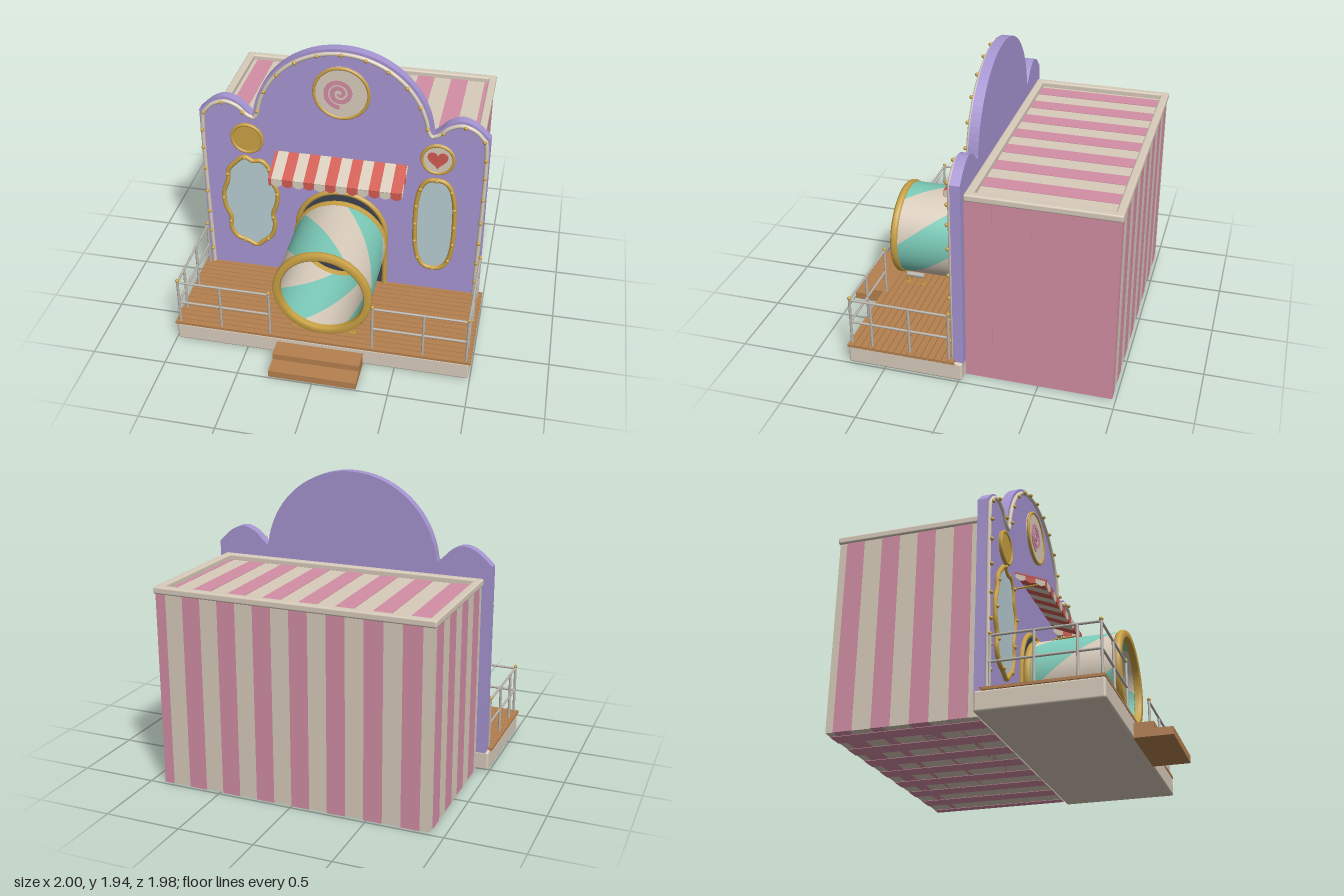
import * as THREE from 'three';
import { RoundedBoxGeometry } from 'three/addons/geometries/RoundedBoxGeometry.js';
import { ParametricGeometry } from 'three/addons/geometries/ParametricGeometry.js';

const mat = (name, color) => Object.assign(new THREE.MeshStandardMaterial({ color }), { name });
const V2 = (x, y) => new THREE.Vector2(x, y);
const V3 = (x, y, z) => new THREE.Vector3(x, y, z);

export function createModel() {
  const purple = mat('purple', 0xa695d2), cream = mat('cream', 0xd8ccbb), pink = mat('pink', 0xd38fa5);
  const teal = mat('teal', 0x7bcab8), gold = mat('gold', 0xc9a144), wood = mat('wood', 0xb5804f);
  const dark = mat('dark', 0x3d4350), red = mat('red', 0xd25c52), glass = mat('glass', 0xb9ced4);
  const silver = mat('silver', 0xb9b4ac);

  const root = new THREE.Group();
  root.name = 'funhouse';
  const add = (name, geo, m, x = 0, y = 0, z = 0) => {
    const mesh = new THREE.Mesh(geo, m);
    mesh.name = name;
    mesh.position.set(x, y, z);
    root.add(mesh);
    return mesh;
  };
  const box = (name, m, x0, x1, y0, y1, z0, z1, r = 0) => add(name,
    r ? new RoundedBoxGeometry(x1 - x0, y1 - y0, z1 - z0, 2, r) : new THREE.BoxGeometry(x1 - x0, y1 - y0, z1 - z0),
    m, (x0 + x1) / 2, (y0 + y1) / 2, (z0 + z1) / 2);
  const plate = (name, m, pts, z, depth) =>
    add(name, new THREE.ExtrudeGeometry(new THREE.Shape(pts), { depth, bevelEnabled: false }), m, 0, 0, z);
  const tube = (name, m, pts, z, r, closed, n = 120) => {
    const curve = new THREE.CatmullRomCurve3(pts.map(p => V3(p.x, p.y, z)), closed, 'centripetal');
    add(name, new THREE.TubeGeometry(curve, n, r, 8, closed), m);
    return curve;
  };
  const rod = (name, m, a, b, r) => {
    const mesh = add(name, new THREE.CylinderGeometry(r, r, a.distanceTo(b), 10), m);
    mesh.position.copy(a).lerp(b, 0.5);
    mesh.quaternion.setFromUnitVectors(V3(0, 1, 0), b.clone().sub(a).normalize());
  };
  const ballGeo = new THREE.SphereGeometry(0.013, 10, 8);
  const ball = (name, x, y, z) => add(name, ballGeo, gold, x, y, z);

  // Striped hall: cream core wrapped by thin pink bands
  box('hallBody', cream, -0.905, 0.905, 0.003, 1.285, -0.975, -0.02);
  for (let x = -0.84; x < 0.9; x += 0.24)
    box('hallStripe', pink, x, Math.min(x + 0.12, 0.906), 0, 1.288, -0.978, -0.022);
  for (let i = 0; i < 4; i++) {
    const z = -0.2 - 0.242 * i;
    box('hallSideStripe', pink, -0.908, 0.908, 0.003, 1.284, z, z + 0.12);
  }
  for (const s of [-1, 1]) {
    const x = s * 0.893;
    box('roofRimSide', cream, x - 0.027, x + 0.027, 1.275, 1.322, -0.985, -0.025, 0.012);
  }
  for (const z of [-0.958, -0.053])
    box('roofRimEnd', cream, -0.92, 0.92, 1.275, 1.322, z - 0.027, z + 0.027, 0.012);

  // Facade outline: side humps and a round middle arch, shrunk by inset i
  const outline = i => {
    const half = [V2(0.97 - i, 0.125)];
    const hump = new THREE.SplineCurve([V2(0.97 - i, 1.4 - 0.5 * i), V2(0.875, 1.485 - i), V2(0.785, 1.517 - i),
      V2(0.7, 1.487 - i), V2(0.645, 1.435 - i), V2(0.606 - i * 0.4, 1.4 - i * 0.6)]);
    half.push(...hump.getPoints(20));
    for (let k = 0; k <= 20; k++) {
      const a = THREE.MathUtils.degToRad(8 + 82 * k / 20), r = 0.604 - i;
      half.push(V2(Math.cos(a) * r, 1.34 + Math.sin(a) * r));
    }
    return [...half, ...half.slice(0, -1).reverse().map(p => V2(-p.x, p.y))];
  };
  plate('facade', purple, outline(0), -0.025, 0.065);
  const trim = tube('facadeTrim', cream, outline(0.03), 0.047, 0.014, false, 300);
  for (const p of trim.getSpacedPoints(32)) ball('trimBulb', p.x, p.y, 0.066);

  // Platform, planks and steps
  box('platform', cream, -0.99, 0.99, 0, 0.13, -0.02, 0.75, 0.015);
  for (let i = 0; i < 17; i++) {
    const z = -0.02 + 0.0456 * i;
    box('plank', wood, -1, 1, 0.125, 0.143, Math.max(z, 0.03), z + 0.041);
  }
  box('upperStep', wood, -0.293, 0.29, 0, 0.095, 0.745, 0.875);
  box('lowerStep', wood, -0.293, 0.29, 0, 0.05, 0.875, 0.99);

  // Doorway
  const arch = r => {
    const pts = [V2(r, 0.14), V2(r, 0.3), V2(r, 0.45)];
    for (let k = 0; k <= 24; k++) {
      const a = Math.PI * k / 24;
      pts.push(V2(Math.cos(a) * r, 0.56 + Math.sin(a) * r));
    }
    return [...pts, V2(-r, 0.45), V2(-r, 0.3), V2(-r, 0.14)];
  };
  plate('doorway', dark, arch(0.3), 0.038, 0.008);
  tube('doorArch', gold, arch(0.307), 0.048, 0.018, false);

  // Rolling barrel with twisted stripes, outside and inside
  const BY = 0.49, rad = THREE.MathUtils.degToRad;
  for (let i = 0; i < 6; i++) {
    for (const [r, inside] of [[0.318, false], [0.283, true]]) {
      const geo = new ParametricGeometry((u, v, t) => {
        const z = 0.08 + 0.6 * v;
        const a = rad(25 + (z - 0.64) * 143 - 60 * i - 60 * (inside ? 1 - u : u));
        t.set(Math.sin(a) * r, BY + Math.cos(a) * r, z);
      }, 12, 24);
      add(inside ? 'barrelLining' : 'barrelStripe', geo, i % 2 ? cream : teal);
    }
  }
  for (const [z, name] of [[0.67, 'barrelFrontRing'], [0.09, 'barrelBackRing']]) {
    const profile = [V2(0.279, -0.02), V2(0.287, -0.025), V2(0.32, -0.025), V2(0.329, -0.012),
      V2(0.329, 0.012), V2(0.32, 0.025), V2(0.287, 0.025), V2(0.279, 0.02), V2(0.279, -0.02)];
    add(name, new THREE.LatheGeometry(profile, 48), gold, 0, BY, z).rotation.x = Math.PI / 2;
  }
  // Rollers under the barrel
  for (const s of [-1, 1]) for (const z of [0.2, 0.563]) {
    const x = s * 0.195;
    rod('roller', silver, V3(x, 0.213, z - 0.06), V3(x, 0.213, z + 0.06), 0.018);
    for (const d of [-0.055, 0.055]) {
      rod('rollerLeg', gold, V3(x, 0.14, z + d), V3(x, 0.22, z + d), 0.009);
      box('rollerFoot', gold, x - 0.02, x + 0.02, 0.14, 0.152, z + d - 0.012, z + d + 0.012);
    }
  }

  // Striped awning with scalloped valance
  for (let k = -1; k < 12; k++) {
    const x0 = Math.max(-0.45, -0.43 + 0.0725 * k), x1 = -0.43 + 0.0725 * (k + 1);
    const m = k % 2 ? red : cream, w = x1 - x0;
    add('awningStripe', new THREE.BoxGeometry(w, 0.009, 0.228), m, (x0 + x1) / 2, 1.1, 0.153).rotation.x = 0.405;
    const pts = [V2(x0, 1.06), V2(x1, 1.06)];
    for (let j = 0; j <= 6; j++) pts.push(V2(x1 - w * j / 6, 1.02 - 0.02 * Math.sin(Math.PI * j / 6)));
    plate('awningValance', m, pts, 0.25, 0.008);
  }
  for (const s of [-1, 1]) {
    for (let k = 0; k < 3; k++) {
      const z0 = 0.05 + k * 0.068, z1 = z0 + 0.068, top = z => 1.145 - 0.43 * (z - 0.05);
      const side = plate('awningSide', k === 1 ? red : cream, [V2(-z0, top(z0)), V2(-z1, top(z1)),
        V2(-z1, top(z1) - 0.035), V2(-(z0 + z1) / 2, top(z1) - 0.035), V2(-z0, top(z0) - 0.035)], 0, 0.006);
      side.rotation.y = Math.PI / 2;
      side.position.x = s * 0.442 - 0.003;
    }
    rod('awningBracket', gold, V3(s * 0.42, 1.04, 0.04), V3(s * 0.42, 1.05, 0.25), 0.006);
  }

  // Round medallions
  const medallion = (name, x, y, r, face) => {
    const disc = add(name + 'Face', new THREE.CylinderGeometry(r, r, 0.02, 40), face, x, y, 0.046);
    disc.rotation.x = Math.PI / 2;
    add(name + 'Rim', new THREE.TorusGeometry(r - 0.007, 0.011, 8, 48), gold, x, y, 0.054);
  };
  medallion('spiralMedallion', 0, 1.637, 0.187, cream);
  medallion('buttonMedallion', -0.645, 1.22, 0.112, gold);
  medallion('heartMedallion', 0.64, 1.22, 0.112, cream);

  // Candy spiral
  const outer = [], inner = [];
  for (let k = 0; k <= 60; k++) {
    const t = k / 60, a = rad(270 - 800 * (1 - t)), r = 0.008 + 0.092 * t, w = 0.006 + 0.009 * Math.min(1, t * 3);
    outer.push(V2(-0.012 + Math.cos(a) * (r + w), 1.637 + Math.sin(a) * (r + w)));
    inner.push(V2(-0.012 + Math.cos(a) * (r - w), 1.637 + Math.sin(a) * (r - w)));
  }
  plate('candySpiral', pink, [...outer, ...inner.reverse()], 0.054, 0.007);

  // Heart
  const heart = [];
  for (let k = 0; k < 40; k++) {
    const a = 2 * Math.PI * k / 40;
    heart.push(V2(0.64 + 0.068 * Math.sin(a) ** 3, 1.222 + 0.0044 *
      (13 * Math.cos(a) - 5 * Math.cos(2 * a) - 2 * Math.cos(3 * a) - Math.cos(4 * a))));
  }
  plate('heart', red, heart, 0.054, 0.007);

  // Mirrors: one wavy, one a tall rounded oval
  const mirror = (name, pts, beads) => {
    const frame = tube(name + 'Frame', gold, pts, 0.05, 0.016, true);
    plate(name + 'Glass', glass, frame.getPoints(80).slice(0, -1).map(p => V2(p.x, p.y)), 0.042, 0.008);
    for (const p of frame.getSpacedPoints(beads).slice(1)) ball(name + 'Bead', p.x, p.y, 0.064);
  };
  const wavy = [[-.67, 1.07], [-.615, 1.045], [-.55, 1.05], [-.5, .99], [-.485, .9], [-.45, .81], [-.455, .72],
    [-.485, .62], [-.475, .54], [-.5, .44], [-.56, .38], [-.61, .34], [-.68, .37], [-.75, .395], [-.795, .47],
    [-.79, .56], [-.825, .65], [-.83, .77], [-.8, .86], [-.79, .95], [-.745, 1.01]];
  mirror('wavyMirror', wavy.map(p => V2(...p)), 9);
  const oval = [], sp = c => Math.sign(c) * Math.abs(c) ** 0.7;
  for (let k = 0; k < 32; k++) {
    const a = 2 * Math.PI * k / 32;
    oval.push(V2(0.64 + 0.133 * sp(Math.cos(a)), 0.695 + 0.362 * sp(Math.sin(a))));
  }
  mirror('ovalMirror', oval, 12);

  // Railings, mirrored left and right
  for (const s of [-1, 1]) {
    const X = s * 0.967, G = s * 0.345, Z = 0.73;
    for (const y of [0.305, 0.47]) {
      rod('frontRail', silver, V3(X, y, Z), V3(G, y, Z), 0.008);
      rod('sideRail', silver, V3(X, y, Z), V3(X, y, 0.06), 0.008);
    }
    for (const [x, z] of [[X, Z], [s * 0.68, Z], [G, Z], [X, 0.59], [X, 0.335], [X, 0.07]])
      rod('railPost', silver, V3(x, 0.14, z), V3(x, 0.475, z), 0.009);
    for (const [x, z] of [[X, Z], [G, Z], [X, 0.07]]) ball('railKnob', x, 0.483, z);
  }
  return root;
}
